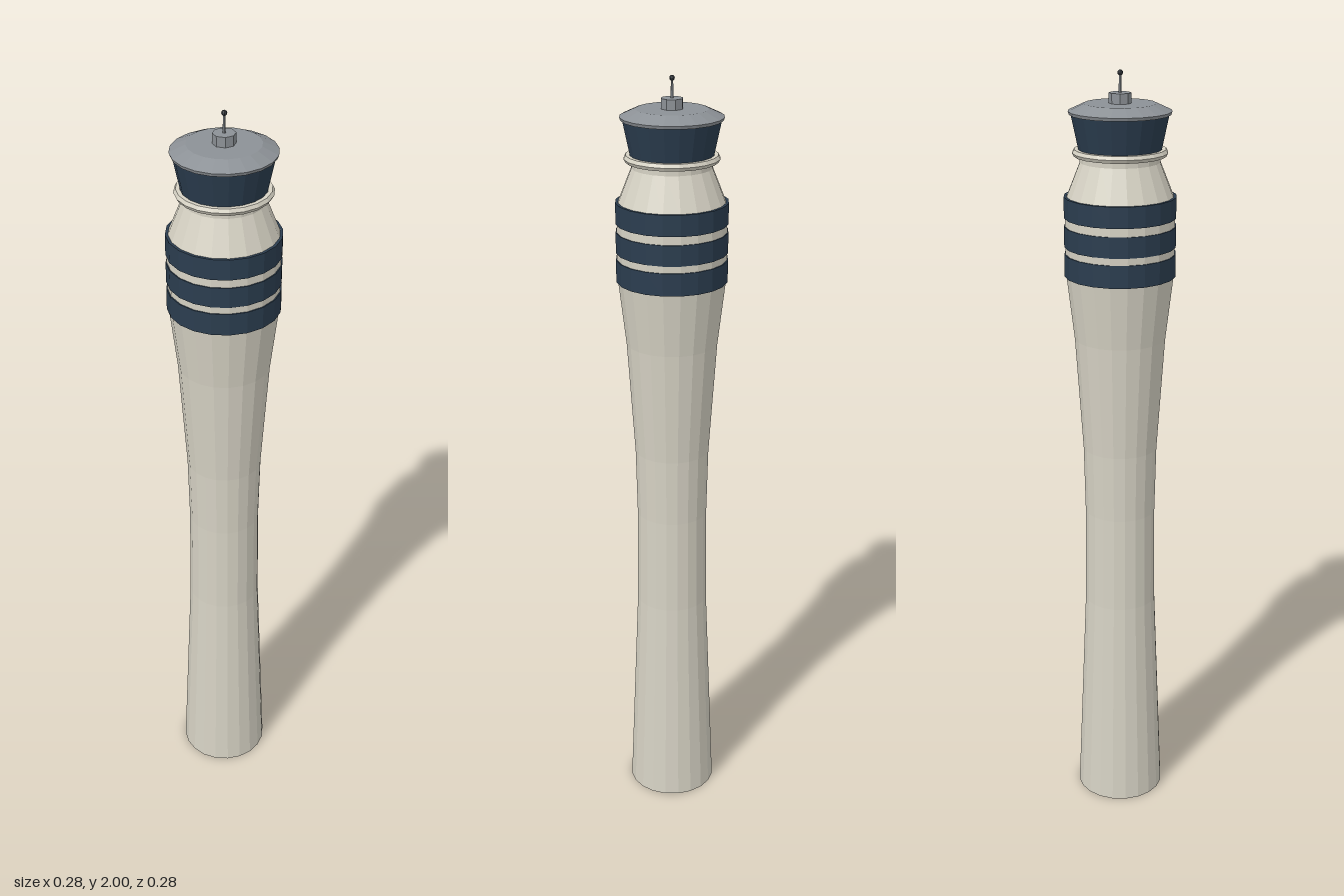
import * as THREE from 'three';

const SIDES = 20;

function flat(name, color) {
  const m = new THREE.MeshStandardMaterial({ color, flatShading: true });
  m.name = name;
  return m;
}

export function createModel() {
  const group = new THREE.Group();
  const concrete = flat('pale concrete', 0xd6d2c4);
  const navy = flat('dark navy', 0x2b3d4f);
  const steel = flat('grey metal', 0x8c9196);
  const dark = flat('dark tip', 0x33383d);

  const add = (name, geometry, material, y = 0) => {
    const mesh = new THREE.Mesh(geometry, material);
    mesh.name = name;
    mesh.position.y = y;
    group.add(mesh);
    return mesh;
  };
  // Profiles are [radius, height] pairs from bottom to top
  const lathe = (profile, sides = SIDES) =>
    new THREE.LatheGeometry(profile.map(([r, y]) => new THREE.Vector2(r, y)), sides);

  // Waisted shaft with a swollen head and tapered shoulder
  add('towerShaft', lathe([
    [0, 0], [0.118, 0], [0.095, 0.59], [0.093, 0.85], [0.097, 1.03],
    [0.117, 1.33], [0.137, 1.5], [0.139, 1.6], [0.136, 1.69],
    [0.1, 1.78], [0.1, 1.815], [0, 1.815],
  ]), concrete);

  // Three painted window bands round the head
  for (const [bottom, top] of [[1.495, 1.552], [1.57, 1.622], [1.643, 1.696]]) {
    add('windowBand', lathe([
      [0.136, bottom], [0.141, bottom], [0.141, top], [0.134, top],
    ]), navy);
  }

  // Gallery rail round the neck
  const rail = add('galleryRail', new THREE.TorusGeometry(0.109, 0.01, 6, SIDES), concrete, 1.803);
  rail.rotation.x = Math.PI / 2;

  // Flared glazed cabin
  add('cabin', lathe([
    [0, 1.81], [0.103, 1.81], [0.122, 1.9], [0, 1.9],
  ]), navy);

  // Low conical roof with a flat top
  add('roof', lathe([
    [0, 1.895], [0.125, 1.895], [0.128, 1.903], [0.089, 1.921], [0, 1.921],
  ]), steel);

  // Mast base, mast and tip
  add('mastBase', new THREE.CylinderGeometry(0.028, 0.028, 0.026, 8), steel, 1.933);
  add('mast', new THREE.CylinderGeometry(0.003, 0.004, 0.052, 6), steel, 1.969);
  add('mastTip', new THREE.SphereGeometry(0.007, 8, 6), dark, 1.993);

  return group;
}
